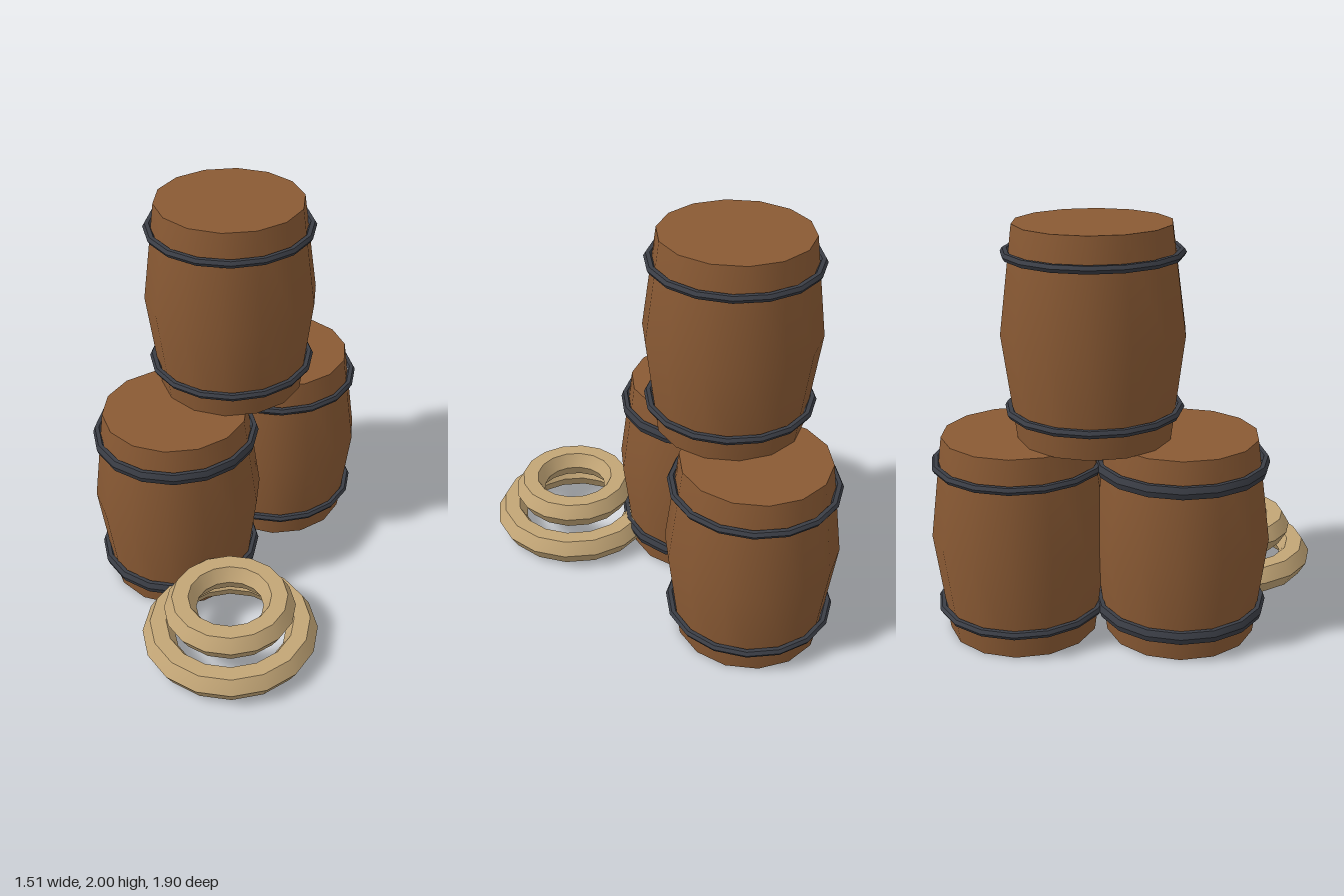
import * as THREE from 'three';
import { toCreasedNormals } from 'three/addons/utils/BufferGeometryUtils.js';

const wood = new THREE.MeshStandardMaterial({ color: 0x8a5a34, side: THREE.DoubleSide });
wood.name = 'barrel wood';
const iron = new THREE.MeshStandardMaterial({ color: 0x3a3d45 });
iron.name = 'hoop iron';
const rope = new THREE.MeshStandardMaterial({ color: 0xc2a576 });
rope.name = 'rope';

const SIDES = 14;
const END_RADIUS = 0.365;
const BELLY_RADIUS = 0.43;

function part(name, geometry, material, x = 0, y = 0, z = 0) {
  const mesh = new THREE.Mesh(geometry, material);
  mesh.name = name;
  mesh.position.set(x, y, z);
  return mesh;
}

// Horizontal ring with a six-sided section and crisp ridges
function ring(radius, tube, stretch = 1) {
  const g = new THREE.TorusGeometry(radius, tube, 6, 16);
  g.rotateX(-Math.PI / 2);
  g.scale(1, stretch, 1);
  return toCreasedNormals(g, 0.6);
}

// Bulging barrel, open underneath, with a lid and two hoops
function barrel(name, y, z, hoopStretch) {
  const group = new THREE.Group();
  group.name = name;
  group.position.set(-0.325, y, z);

  const profile = [[END_RADIUS, 0], [BELLY_RADIUS, 0.5], [END_RADIUS, 1]];
  const staves = new THREE.LatheGeometry(profile.map(p => new THREE.Vector2(...p)), SIDES);
  staves.rotateY(Math.PI / 2);
  group.add(part('staves', staves, wood));

  const lid = new THREE.CircleGeometry(END_RADIUS, SIDES);
  lid.rotateX(-Math.PI / 2);
  group.add(part('lid', lid, wood, 0, 1, 0));

  const hoop = ring(0.4, 0.02, hoopStretch);
  group.add(part('lowerHoop', hoop, iron, 0, 0.137, 0));
  group.add(part('upperHoop', hoop, iron, 0, 0.865, 0));
  return group;
}

export function createModel() {
  const model = new THREE.Group();
  model.name = 'barrelStack';

  model.add(barrel('frontBarrel', 0, 0.24, 1.7));
  model.add(barrel('backBarrel', 0, -0.533, 1));
  model.add(barrel('topBarrel', 1, -0.17, 1));

  // Coiled rope beside the barrels
  const coil = new THREE.Group();
  coil.name = 'ropeCoil';
  coil.position.set(0.313, 0, 0.512);
  coil.add(part('lowerCoil', ring(0.36, 0.08), rope, 0, 0.095, 0));
  coil.add(part('upperCoil', ring(0.246, 0.08), rope, 0, 0.255, 0));
  model.add(coil);

  return model;
}
